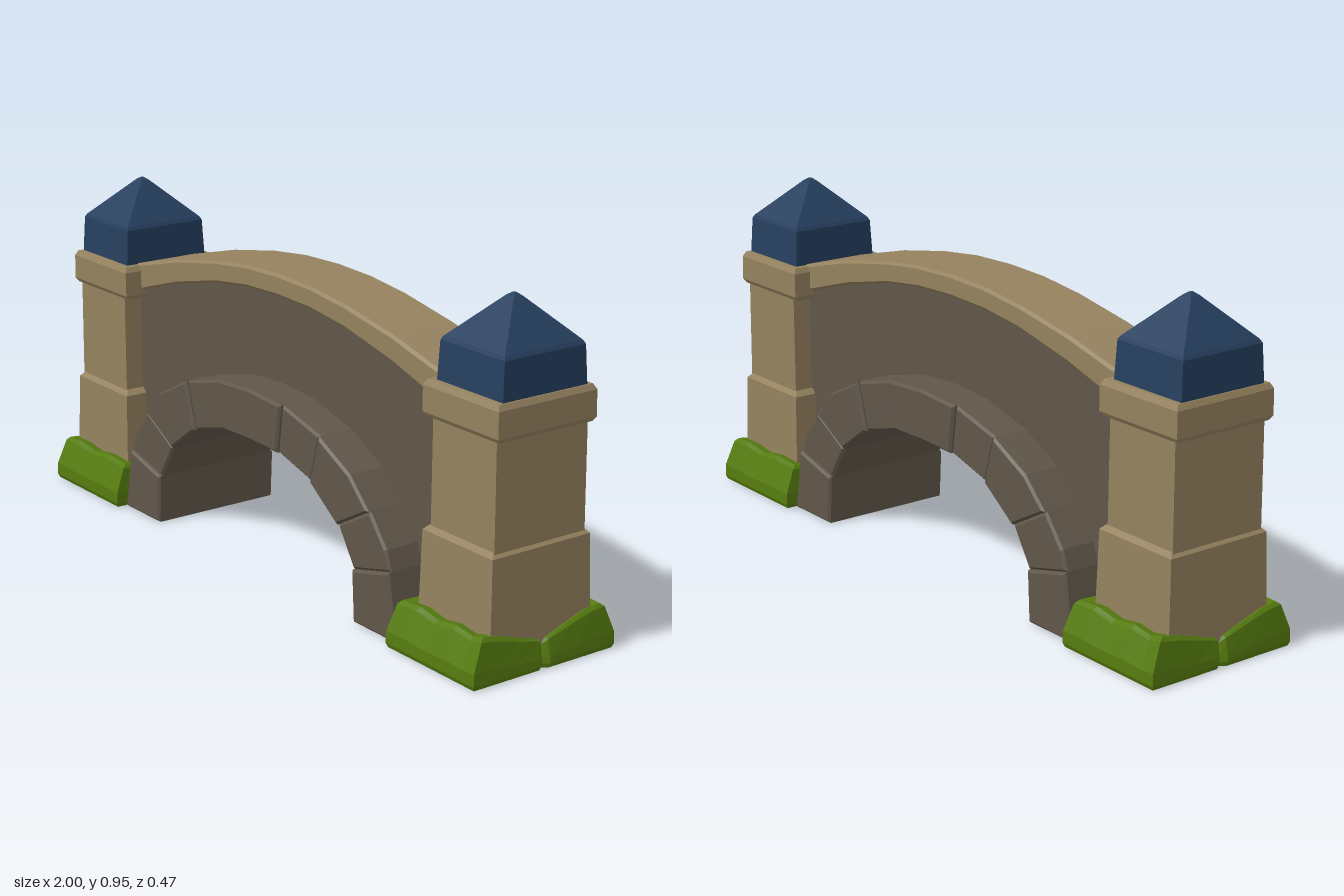
import * as THREE from 'three';

const mat = (name, color) => {
  const m = new THREE.MeshStandardMaterial({ color, flatShading: true });
  m.name = name;
  return m;
};

// Skin a stack of equal-length rings, closed at both ends
function loft(rings) {
  const pos = [], n = rings[0].length;
  const tri = (...p) => p.forEach((v) => pos.push(...v));
  const mid = (r) => [0, 1, 2].map((k) => r.reduce((s, p) => s + p[k], 0) / n);
  const first = rings[0], last = rings[rings.length - 1];
  const c0 = mid(first), c1 = mid(last);
  for (let i = 0; i < n; i++) {
    const j = (i + 1) % n;
    for (let k = 0; k + 1 < rings.length; k++) {
      const a = rings[k], b = rings[k + 1];
      tri(a[i], a[j], b[j]);
      tri(a[i], b[j], b[i]);
    }
    tri(c0, first[j], first[i]);
    tri(c1, last[i], last[j]);
  }
  const g = new THREE.BufferGeometry();
  g.setAttribute('position', new THREE.Float32BufferAttribute(pos, 3));
  g.computeVertexNormals();
  return g;
}

// Rectangular ring: centre x, height, half width, half depth
const rect = (cx, y, w, d) => [[cx - w, y, d], [cx + w, y, d], [cx + w, y, -d], [cx - w, y, -d]];
const stack = (cx, levels) => loft(levels.map(([y, w, d]) => rect(cx, y, w, d)));

// Extrude an outline evenly to both sides of z = 0, bevel kept inside its size
function slab(points, halfDepth, bevel) {
  const shape = new THREE.Shape(points.map(([x, y]) => new THREE.Vector2(x, y)));
  const g = new THREE.ExtrudeGeometry(shape, {
    depth: 2 * (halfDepth - bevel), bevelEnabled: bevel > 0,
    bevelThickness: bevel, bevelSize: bevel, bevelOffset: -bevel, bevelSegments: 1,
  });
  return g.translate(0, 0, -(halfDepth - bevel));
}

const flip = (pts) => pts.map(([x, y]) => [-x, y]).reverse();
// Mirror a right-hand half profile that ends on the centre line
const across = (half) => [...half, ...flip(half).slice(1)];

export function createModel() {
  const model = new THREE.Group();
  model.name = 'stoneBridge';
  const tan = mat('tan stone', 0x95825f);
  const grey = mat('grey stone', 0x61574a);
  const moss = mat('moss green', 0x557b0f);
  const blue = mat('slate blue', 0x263f5e);
  const add = (parent, name, geometry, material) => {
    const m = new THREE.Mesh(geometry, material);
    m.name = name;
    parent.add(m);
    return m;
  };

  // Arch stones, from the foot up to the keystone
  const inner = [[0.47, 0], [0.462, 0.145], [0.395, 0.25], [0.275, 0.335], [0.125, 0.376]];
  const outer = [[0.65, 0], [0.618, 0.185], [0.53, 0.325], [0.315, 0.472], [0.145, 0.515]];
  const crown = [[0.598, 0.24], [0.45, 0.405]]; // extra bend on the longer stones
  const arch = new THREE.Group();
  arch.name = 'archStones';
  model.add(arch);
  for (let i = 0; i < 4; i++) {
    const bend = i === 1 ? [crown[0]] : i === 2 ? [crown[1]] : [];
    const stone = [inner[i], outer[i], ...bend, outer[i + 1], inner[i + 1]];
    const depth = i % 2 ? 0.198 : 0.205;
    add(arch, 'archStoneLeft', slab(stone, depth, 0.007), grey);
    add(arch, 'archStoneRight', slab(flip(stone), depth, 0.007), grey);
  }
  add(arch, 'keystone', slab([[0.125, 0.376], [0.145, 0.515], [0, 0.524], [-0.145, 0.515], [-0.125, 0.376], [0, 0.379]], 0.205, 0.007), grey);

  // Core that closes the joints between the stones
  const coreIn = across([[0.48, 0], [0.47, 0.145], [0.402, 0.257], [0.28, 0.342], [0.127, 0.383], [0, 0.386]]);
  const coreOut = across([[0.64, 0], [0.608, 0.18], [0.523, 0.316], [0.44, 0.395], [0.31, 0.462], [0.14, 0.506], [0, 0.514]]);
  add(arch, 'archCore', slab([...coreOut, ...coreIn.reverse()], 0.19, 0), grey);

  // Spandrel wall between arch and coping
  const wallTop = across([[0.74, 0.65], [0.5, 0.72], [0.3, 0.765], [0.15, 0.785], [0, 0.79]]);
  const wallLow = across([[0.74, 0.02], [0.63, 0.02], [0.59, 0.18], [0.5, 0.31], [0.3, 0.44], [0.13, 0.49], [0, 0.495]]);
  add(model, 'spandrelWall', slab([...wallTop, ...wallLow.reverse()], 0.092, 0), grey);

  // Curved coping
  const copeTop = across([[0.73, 0.717], [0.5, 0.775], [0.3, 0.811], [0.15, 0.828], [0, 0.833]]);
  const copeLow = across([[0.73, 0.633], [0.5, 0.702], [0.3, 0.747], [0.15, 0.766], [0, 0.771]]);
  add(model, 'coping', slab([...copeTop, ...copeLow.reverse()], 0.107, 0.008), tan);

  // Moss outline as [across, along, height]; the outer face has a split
  const edge = [
    [-1, 1, 0.125], [-0.55, 1, 0.13], [-0.1, 1, 0.118], [0.35, 1, 0.128], [0.75, 1, 0.12], [1, 1, 0.13],
    [1, 0.7, 0.118], [1, 0.4, 0.1], [1, 0.07, 0.082], [0.93, 0, 0.066], [1, -0.07, 0.08],
    [1, -0.45, 0.104], [1, -0.75, 0.122], [1, -1, 0.128], [0.6, -1, 0.13], [0.1, -1, 0.12],
    [-0.4, -1, 0.13], [-1, -1, 0.125], [-1, -0.4, 0.115], [-1, 0.3, 0.12],
  ];
  const mossRing = (w, d, height) => edge.map(([u, v, h]) => [0.825 + u * w, height(h), v * d]);
  const mossGeometry = loft([
    mossRing(0.17, 0.23, () => 0),
    mossRing(0.175, 0.235, () => 0.012),
    mossRing(0.174, 0.234, (h) => h * 0.36),
    mossRing(0.166, 0.205, (h) => h * 0.93),
    mossRing(0.158, 0.193, (h) => h),
    mossRing(0.12, 0.14, (h) => h - 0.012),
  ]);

  // Two matching end posts
  for (const side of ['left', 'right']) {
    const post = new THREE.Group();
    post.name = side + 'Post';
    post.rotation.y = side === 'left' ? 0 : Math.PI;
    model.add(post);
    add(post, 'postBase', stack(0.838, [[0.02, 0.143, 0.168], [0.322, 0.136, 0.161], [0.336, 0.122, 0.148]]), tan);
    add(post, 'postShaft', stack(0.843, [[0.32, 0.123, 0.149], [0.64, 0.121, 0.148]]), tan);
    add(post, 'postCap', stack(0.838, [[0.62, 0.138, 0.152], [0.632, 0.145, 0.16], [0.702, 0.144, 0.16], [0.717, 0.136, 0.152]]), tan);
    add(post, 'postRoof', stack(0.845, [[0.71, 0.125, 0.137], [0.82, 0.121, 0.131], [0.83, 0.115, 0.126], [0.938, 0.015, 0.014], [0.946, 0.004, 0.004]]), blue);
    add(post, 'mossSkirt', mossGeometry, moss);
  }
  return model;
}
